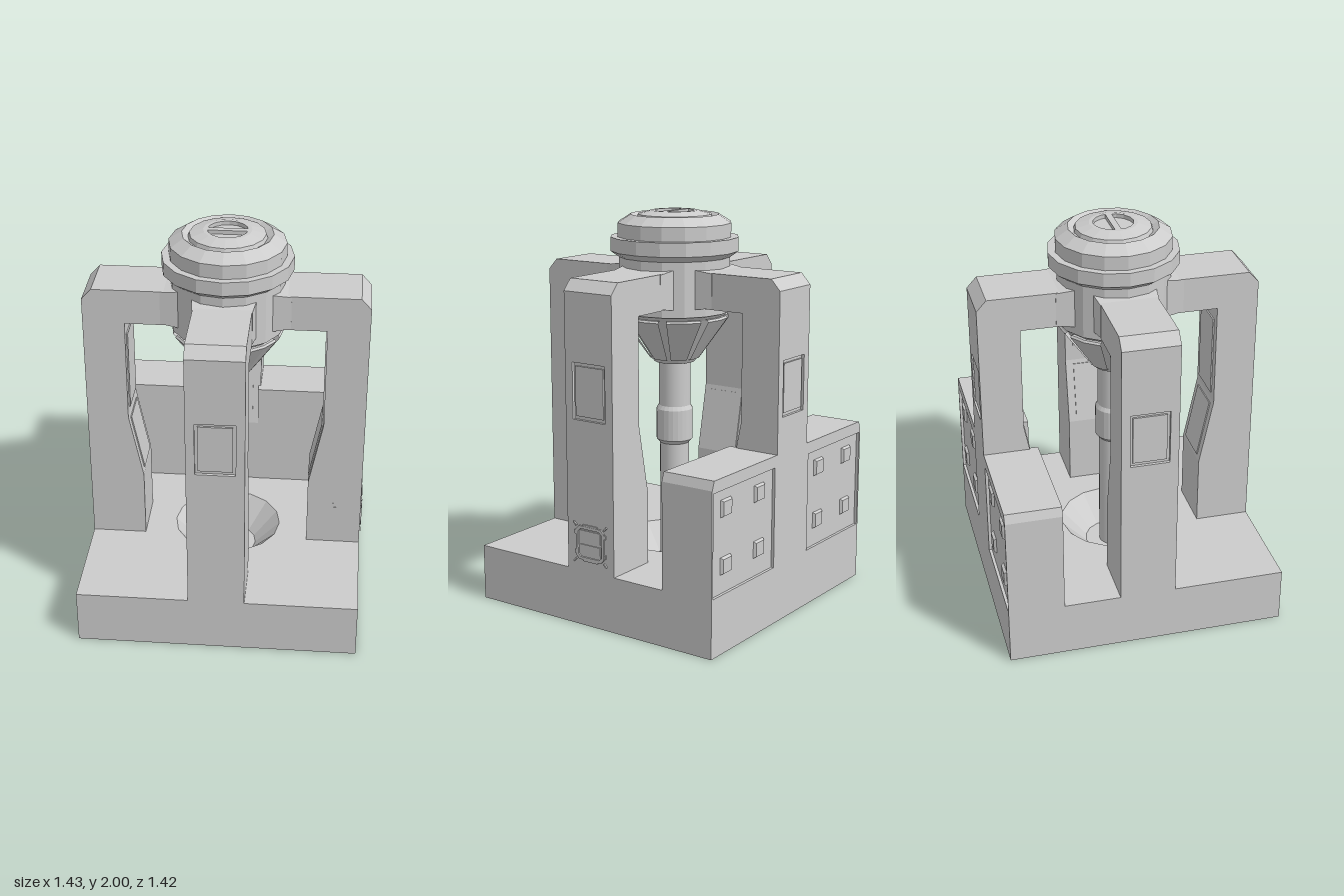
import * as THREE from 'three';

const grey = new THREE.MeshStandardMaterial({ color: 0xcccccc, side: THREE.DoubleSide });
grey.name = 'plain grey';

function add(parent, name, geometry, x = 0, y = 0, z = 0) {
  const mesh = new THREE.Mesh(geometry, grey);
  mesh.name = name;
  mesh.position.set(x, y, z);
  parent.add(mesh);
  return mesh;
}

const box = (w, h, d) => new THREE.BoxGeometry(w, h, d);
const points = (list) => list.map(([x, y]) => new THREE.Vector2(x, y));
const rect = (x0, y0, x1, y1) => points([[x0, y0], [x1, y0], [x1, y1], [x0, y1]]);

// Faceted surface of revolution
function facetedLathe(profile, sides = 16, start = 0, length = Math.PI * 2) {
  const g = new THREE.LatheGeometry(points(profile), sides, start, length).toNonIndexed();
  g.computeVertexNormals();
  return g;
}

function extrude(outline, depth, holes = []) {
  const shape = new THREE.Shape(outline);
  holes.forEach((h) => shape.holes.push(new THREE.Path(h)));
  return new THREE.ExtrudeGeometry(shape, { depth, bevelEnabled: false });
}

// Square box whose front edges are chamfered by c, facing +z
function chamferedPad(w, h, depth, c) {
  const g = box(w, h, depth);
  const p = g.attributes.position;
  for (let i = 0; i < p.count; i++) {
    if (p.getZ(i) > 0) {
      p.setX(i, p.getX(i) - Math.sign(p.getX(i)) * c);
      p.setY(i, p.getY(i) - Math.sign(p.getY(i)) * c);
    }
  }
  const flat = g.toNonIndexed();
  flat.computeVertexNormals();
  return flat;
}

// One bent support, reaching out along +x
function makeSupport() {
  const leg = new THREE.Group();
  leg.name = 'support';
  const outline = points([
    [0.43, 0.285], [0.695, 0.285], [0.695, 1.665], [0.71, 1.665], [0.66, 1.72],
    [0.24, 1.72], [0.24, 1.54], [0.5, 1.54], [0.5, 1.0], [0.43, 0.65],
  ]);
  add(leg, 'supportBeam', extrude(outline, 0.284), 0, 0, -0.142);

  // outer skin with a window recess
  const skin = extrude(rect(-0.142, 0.285, 0.142, 1.665), 0.015, [rect(-0.098, 1.045, 0.098, 1.325)]);
  skin.rotateY(Math.PI / 2);
  add(leg, 'supportSkin', skin, 0.695);
  add(leg, 'outerPanel', box(0.01, 0.245, 0.168), 0.7, 1.185);

  // inner face panels, the lower one on the slope
  add(leg, 'innerPanelUpper', box(0.008, 0.42, 0.2), 0.497, 1.25);
  const slope = add(leg, 'innerPanelLower', box(0.008, 0.31, 0.2), 0.463, 0.825);
  slope.rotation.z = -Math.atan2(0.07, 0.35);

  // clamp where the arm meets the drum
  const clamp = add(leg, 'clamp', chamferedPad(0.312, 0.195, 0.09, 0.012), 0.277, 1.632);
  clamp.rotation.y = Math.PI / 2;
  return leg;
}

// Rear block on the +x or -x side, with a recessed bolted panel
function makeRearBlock(side) {
  const block = new THREE.Group();
  block.name = side > 0 ? 'rearBlockLeft' : 'rearBlockRight';
  const outline = [[0.13, 0.285], [0.71, 0.285], [0.71, 0.82], [0.693, 0.865], [0.13, 0.865]]
    .map(([x, y]) => [x * side, y]);
  const hole = rect(0.16 * side, 0.295, 0.698 * side, 0.805);
  add(block, 'blockCore', extrude(points(outline), 0.267), 0, 0, -0.695);
  add(block, 'blockSkin', extrude(points(outline), 0.015, [hole]), 0, 0, -0.71);
  for (const x of [0.285, 0.574]) {
    for (const y of [0.43, 0.71]) {
      const bolt = add(block, 'bolt', chamferedPad(0.085, 0.085, 0.014, 0.008), x * side, y, -0.702);
      bolt.rotation.y = Math.PI;
    }
  }
  return block;
}

// Small framed hatch on the outside of the left support
function makeHatch() {
  const hatch = new THREE.Group();
  hatch.name = 'hatch';
  const octagon = (r, c) => points([
    [r - c, -r], [r, c - r], [r, r - c], [r - c, r], [c - r, r], [-r, r - c], [-r, c - r], [c - r, -r],
  ]);
  add(hatch, 'hatchFrame', extrude(octagon(0.086, 0.02), 0.008, [octagon(0.072, 0.015)]));
  for (const s of [-1, 1]) {
    add(hatch, 'hatchPane', box(0.125, 0.056, 0.005), 0, s * 0.036, 0.0025);
    for (const t of [-1, 1]) {
      const claw = add(hatch, 'hatchClaw', box(0.024, 0.008, 0.008), s * 0.093, t * 0.093, 0.004);
      claw.rotation.z = s * t * Math.PI / 4;
      add(hatch, 'hatchTab', box(0.012, 0.02, 0.006), s * 0.09, t * 0.05, 0.003);
    }
    add(hatch, 'hatchLip', box(0.09, 0.008, 0.006), 0, s * 0.09, 0.003);
  }
  hatch.rotation.y = Math.PI / 2;
  hatch.position.set(0.71, 0.43, 0);
  return hatch;
}

export function createModel() {
  const model = new THREE.Group();
  model.name = 'machinePress';

  // Base with a conical pit
  const pit = Array.from({ length: 16 }, (_, i) => {
    const a = (i / 16) * Math.PI * 2;
    return new THREE.Vector2(0.28 * Math.cos(a), 0.28 * Math.sin(a));
  });
  const baseTop = extrude(rect(-0.71, -0.71, 0.71, 0.71), 0.185, [pit]);
  baseTop.rotateX(-Math.PI / 2);
  add(model, 'baseTop', baseTop, 0, 0.1);
  add(model, 'baseBottom', box(1.42, 0.1, 1.42), 0, 0.05);
  add(model, 'pit', facetedLathe([[0.28, 0.285], [0.15, 0.15], [0, 0.15]]));

  // Four supports around the drum
  for (let i = 0; i < 4; i++) {
    const leg = makeSupport();
    leg.rotation.y = (i * Math.PI) / 2;
    model.add(leg);
  }
  model.add(makeRearBlock(1), makeRearBlock(-1), makeHatch());

  // Small latch beside the hatch
  add(model, 'latchStem', box(0.006, 0.03, 0.006), 0.565, 0.515, 0.144);
  add(model, 'latchFoot', box(0.018, 0.006, 0.006), 0.573, 0.5, 0.144);

  // Head: cone, drum, collar and grooved cap with a sunken top
  add(model, 'head', facetedLathe([
    [0, 1.23], [0.105, 1.23], [0.255, 1.47], [0.27, 1.49], [0.285, 1.495], [0.285, 1.77],
    [0.327, 1.8], [0.327, 1.87], [0.29, 1.87], [0.29, 1.94], [0.225, 1.982], [0.195, 1.962],
    [0.188, 1.982], [0.12, 2.0], [0.1, 2.0], [0.1, 1.98], [0, 1.98],
  ]));
  add(model, 'capBar', box(0.2, 0.02, 0.032), 0, 1.99, 0);
  for (let i = 0; i < 8; i++) {
    const plate = [[0.11, 1.25], [0.128, 1.25], [0.28, 1.465], [0.272, 1.475], [0.25, 1.475]];
    add(model, 'conePlate', facetedLathe(plate, 2, (i / 8) * Math.PI * 2 - 0.32, 0.64));
  }

  // Central rod with a ring
  add(model, 'rod', new THREE.LatheGeometry(points([[0.076, 0.15], [0.076, 0.82]]), 24));
  add(model, 'rodUpper', new THREE.LatheGeometry(points([[0.082, 0.98], [0.082, 1.24]]), 24));
  add(model, 'rodRing', facetedLathe([[0.076, 0.8], [0.094, 0.82], [0.094, 0.98], [0.082, 1.0]], 24));

  return model;
}
